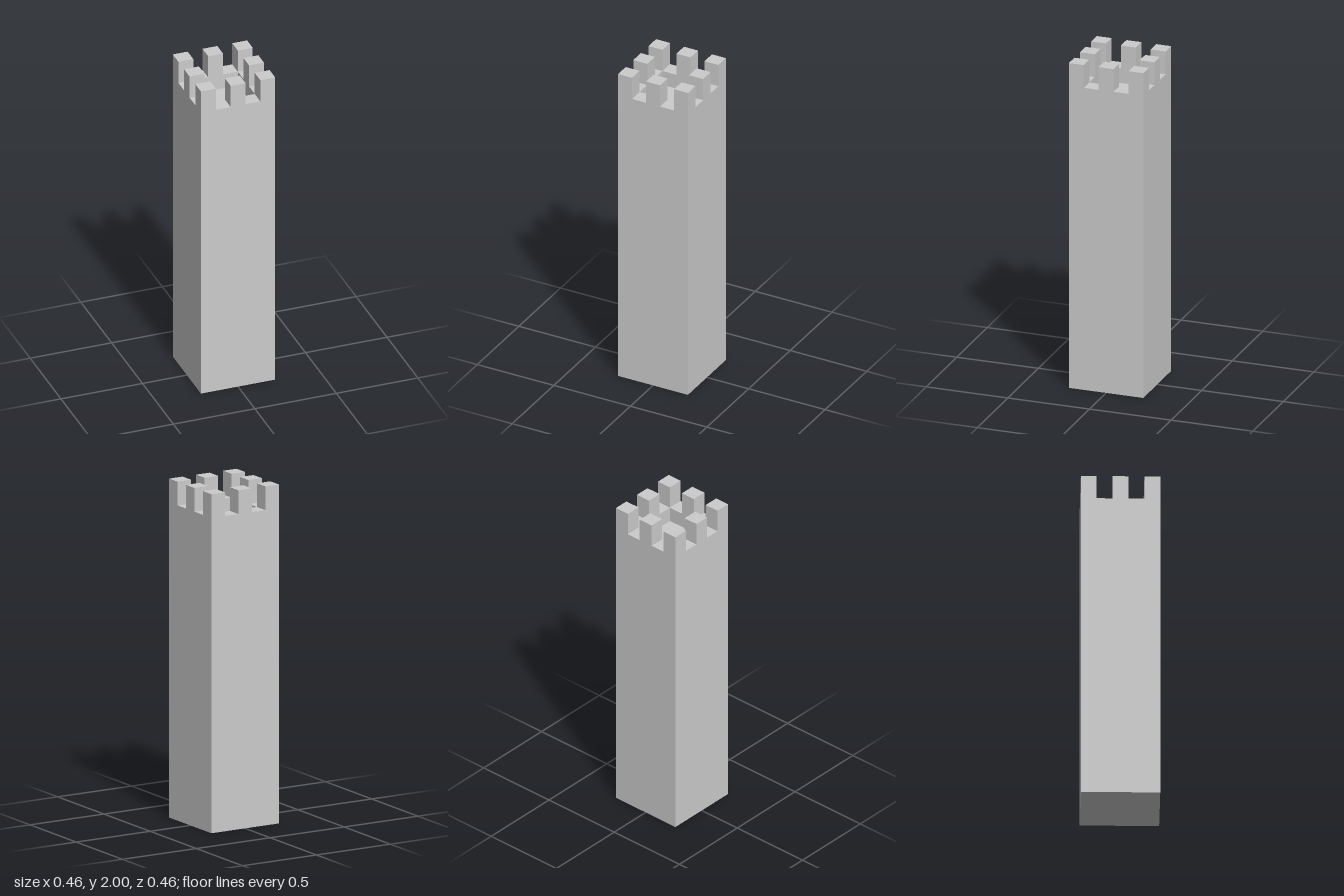
import * as THREE from 'three';

const CELL = 0.0912;          // width of one merlon or gap
const HALF = CELL * 2.5;      // half the tower's width
const TOP = 2;                // top of the merlons
const SILL = 1.86;            // bottom of the gaps
const DECK = SILL - CELL;     // sunken roof floor

export function createModel() {
  const tower = new THREE.Group();
  tower.name = 'watchtower';
  const stone = new THREE.MeshStandardMaterial({ color: 0xcccccc, flatShading: true });

  const add = (parent, name, geometry, x, y, z) => {
    const mesh = new THREE.Mesh(geometry, stone);
    mesh.name = name;
    mesh.position.set(x, y, z);
    parent.add(mesh);
    return mesh;
  };

  const square = (Type, h) => new Type([
    new THREE.Vector2(-h, -h), new THREE.Vector2(h, -h),
    new THREE.Vector2(h, h), new THREE.Vector2(-h, h),
  ]);

  // Square shaft, its top serving as the roof floor
  add(tower, 'shaft', new THREE.BoxGeometry(HALF * 2, DECK, HALF * 2), 0, DECK / 2, 0);

  // Low wall around the roof
  const ring = square(THREE.Shape, HALF);
  ring.holes.push(square(THREE.Path, HALF - CELL));
  const wall = new THREE.ExtrudeGeometry(ring, { depth: SILL - DECK, bevelEnabled: false });
  wall.rotateX(-Math.PI / 2);
  add(tower, 'parapetWall', wall, 0, DECK, 0);

  // Eight merlons: corners and the middle of each side
  const merlons = new THREE.Group();
  merlons.name = 'merlons';
  tower.add(merlons);
  const block = new THREE.BoxGeometry(CELL, TOP - SILL, CELL);
  for (let i = -1; i <= 1; i++) {
    for (let j = -1; j <= 1; j++) {
      if (i === 0 && j === 0) continue;
      add(merlons, 'merlon', block, i * CELL * 2, (TOP + SILL) / 2, j * CELL * 2);
    }
  }
  return tower;
}
